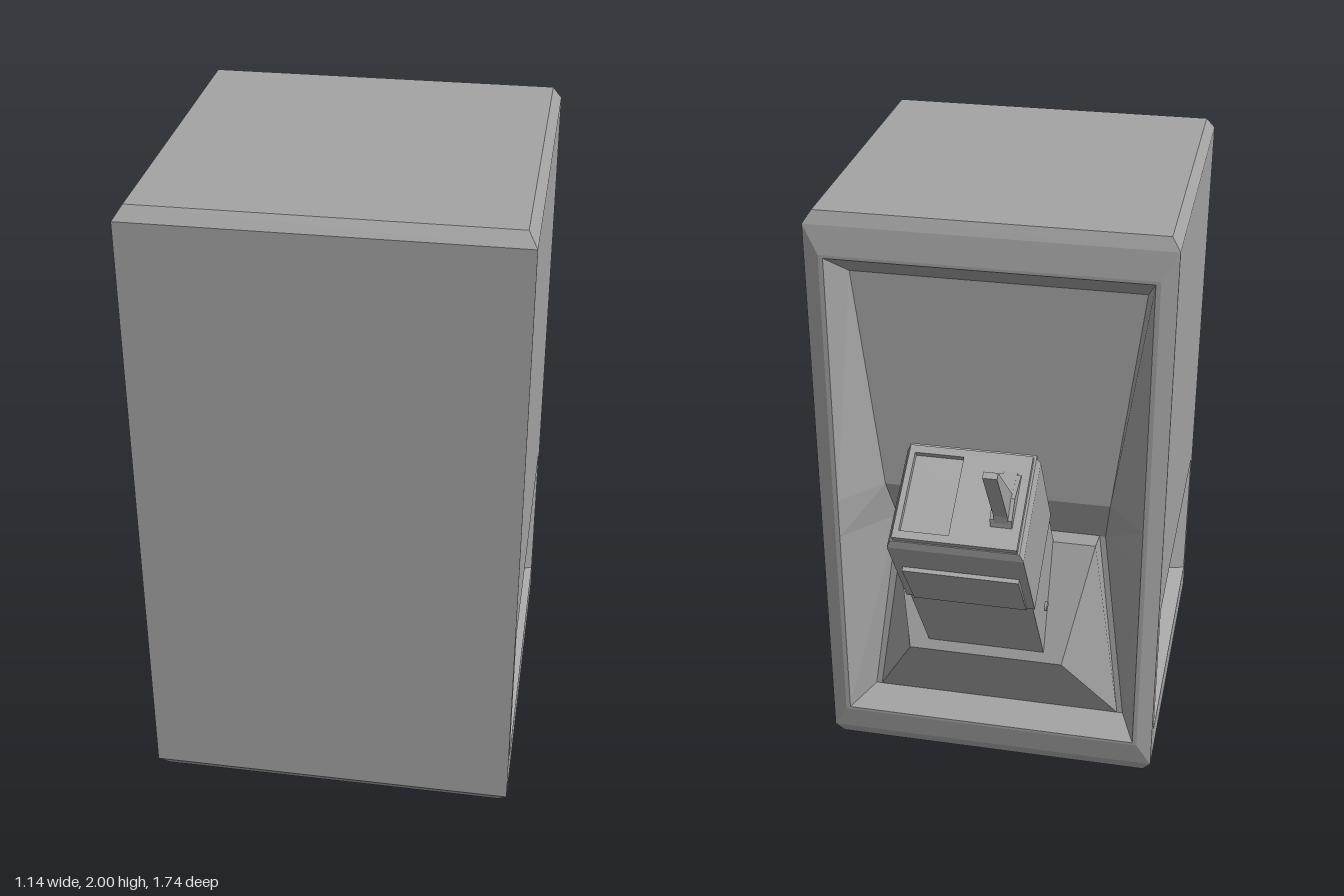
import * as THREE from 'three';

const grey = new THREE.MeshStandardMaterial({ color: 0xa3a3a3, side: THREE.DoubleSide });
grey.name = 'plain grey';

// Flat-faced mesh from a list of polygons (each a loop of [x, y, z] corners)
function faces(name, polys) {
  const pos = [];
  for (const p of polys)
    for (let i = 1; i < p.length - 1; i++) pos.push(...p[0], ...p[i], ...p[i + 1]);
  const g = new THREE.BufferGeometry();
  g.setAttribute('position', new THREE.Float32BufferAttribute(pos, 3));
  g.computeVertexNormals();
  return part(name, g);
}

function part(name, geometry, x = 0, y = 0, z = 0) {
  const m = new THREE.Mesh(geometry, grey);
  m.name = name;
  m.position.set(x, y, z);
  return m;
}

// Quads joining successive rings; skipped sides stay open
function loft(rings, skip = []) {
  const out = [];
  for (let k = 0; k < rings.length - 1; k++) {
    const a = rings[k], b = rings[k + 1], n = a.length;
    for (let i = 0; i < n; i++) {
      const j = (i + 1) % n;
      if (!skip.includes(i)) out.push([a[i], b[i], b[j], a[j]]);
    }
  }
  return out;
}

// Rectangle with cut corners, facing z
const ring8 = (z, h, y0, y1, cx = 0, cy = 0) => [
  [h, y0 + cy, z], [h, y1 - cy, z], [h - cx, y1, z], [cx - h, y1, z],
  [-h, y1 - cy, z], [-h, y0 + cy, z], [cx - h, y0, z], [h - cx, y0, z]];

// Half outline on +x completed by its mirror image
const mirrorRing = (half) => [...half, ...half.map(([x, y, z]) => [-x, y, z]).reverse()];

// Strip of quads spanning from each half outline to its mirror
function span(ring) {
  const n = ring.length, out = [];
  for (let i = 0; i < n / 2 - 1; i++)
    out.push([ring[i], ring[n - 1 - i], ring[n - 2 - i], ring[i + 1]]);
  return out;
}

// Block with levels [y, halfWidth, zMin, zMax] from top to bottom
function block(name, levels) {
  const rings = levels.map(([y, h, z0, z1]) => [[h, y, z1], [h, y, z0], [-h, y, z0], [-h, y, z1]]);
  const last = rings[rings.length - 1];
  return faces(name, [rings[0], ...loft(rings), [...last].reverse()]);
}

// Plate in x-y with a rectangular opening
function framePlate(name, [x0, x1, y0, y1], [a0, a1, b0, b1], depth) {
  const rect = (S, l, r, b, t) => {
    const s = new S();
    s.moveTo(l, b); s.lineTo(r, b); s.lineTo(r, t); s.lineTo(l, t); s.closePath();
    return s;
  };
  const shape = rect(THREE.Shape, x0, x1, y0, y1);
  shape.holes.push(rect(THREE.Path, a0, a1, b0, b1));
  return part(name, new THREE.ExtrudeGeometry(shape, { depth, bevelEnabled: false }));
}

function profile(name, pts, width, x) {
  const g = new THREE.ExtrudeGeometry(new THREE.Shape(pts.map(([a, b]) => new THREE.Vector2(a, b))),
    { depth: width, bevelEnabled: false });
  g.rotateY(Math.PI / 2);
  return part(name, g, x - width / 2);
}

export function createModel() {
  const model = new THREE.Group();
  model.name = 'cabinet';

  // Cabinet shell: bevelled front, straight sides, bevelled rear rim
  const front = ring8(0.87, 0.57, 0.04, 1.96);
  const a = ring8(0.84, 0.57, 0, 2, 0.027, 0.04);
  const b = ring8(-0.25, 0.57, 0, 2, 0.027, 0.04);
  const c = ring8(-0.268, 0.57, 0.04, 1.96);
  const rim = ring8(-0.285, 0.52, 0.13, 1.87);
  const lip = ring8(-0.285, 0.505, 0.14, 1.86);
  model.add(faces('cabinetShell', [front, ...loft([front, a]), ...loft([a, b], [0, 4]), ...loft([b, c, rim, lip])]));

  // Side walls with a recessed panel low down
  for (const s of [1, -1]) {
    const rect = (x, y0, y1, z0, z1) => {
      const r = [[s * x, y0, z1], [s * x, y0, z0], [s * x, y1, z0], [s * x, y1, z1]];
      return s > 0 ? r : r.reverse();
    };
    const inner = rect(0.515, 0.18, 0.625, -0.15, 0.76);
    const rings = [rect(0.57, 0.04, 1.96, -0.25, 0.84), rect(0.57, 0.15, 0.655, -0.21, 0.82), inner];
    const walls = loft(rings).map((q) => [...q].reverse());
    model.add(faces(s > 0 ? 'leftSidePanel' : 'rightSidePanel', [inner, ...walls]));
  }

  // Rear cavity, narrowing towards the back wall
  const mouth = mirrorRing([0.14, 0.86, 1.0, 1.86].map((y) => [0.505, y, -0.285]));
  const back = mirrorRing([[0.45, 0.14, -0.13], [0.36, 0.84, -0.08], [0.38, 1.0, -0.145], [0.47, 1.76, -0.135]]);
  model.add(faces('rearCavity', [...loft([mouth, back]), ...span(back)]));

  // Wedge-shaped pedestal in the cavity
  const wedge = mirrorRing([[0.43, 0.14, -0.13], [0.26, 0.485, -0.345], [0.34, 0.86, -0.175], [0.34, 0.84, -0.07]]);
  model.add(faces('pedestal', [...span(wedge), wedge.slice(0, 4).reverse(), wedge.slice(4).reverse()]));

  // Tilted unit standing on the pedestal
  const unit = new THREE.Group();
  unit.name = 'tiltedUnit';
  unit.position.set(0, 0.51, -0.335);
  unit.rotation.x = -0.576;
  model.add(unit);
  unit.add(block('unitLower', [[0.42, 0.197, 0.008, 0.332], [-0.03, 0.197, 0.008, 0.332]]));
  unit.add(block('unitUpper', [[0.8, 0.195, 0.012, 0.328], [0.775, 0.206, 0, 0.328], [0.41, 0.206, 0, 0.328]]));
  unit.add(block('outerPlate', [[0.64, 0.18, -0.014, 0.01], [0.41, 0.18, -0.006, 0.01]]));

  // Top plate with a slot
  const top = framePlate('topPlate', [-0.188, 0.188, -0.325, -0.015], [0.02, 0.17, -0.3, -0.04], 0.02);
  top.rotation.x = -Math.PI / 2;
  top.position.y = 0.8;
  unit.add(top);

  // Inner face plate with a shallow window
  const inner = framePlate('innerPlate', [-0.195, 0.195, 0.41, 0.8], [-0.165, 0.165, 0.53, 0.7], 0.012);
  inner.position.z = 0.328;
  unit.add(inner);

  // Side bolts
  for (const s of [1, -1]) {
    const bolt = part('sideBolt', new THREE.CylinderGeometry(0.016, 0.016, 0.012, 12), s * 0.199, 0.14, 0.12);
    bolt.rotation.z = Math.PI / 2;
    unit.add(bolt);
  }

  // Lever and its wider foot
  model.add(profile('lever', [[0.6, 1.27], [0.705, 1.22], [0.72, 1.285], [0.868, 1.5], [0.852, 1.512], [0.65, 1.325], [0.56, 1.345]], 0.042, -0.13));
  model.add(profile('leverFoot', [[0.57, 1.3], [0.71, 1.22], [0.715, 1.27], [0.67, 1.32], [0.57, 1.342]], 0.066, -0.13));
  return model;
}
